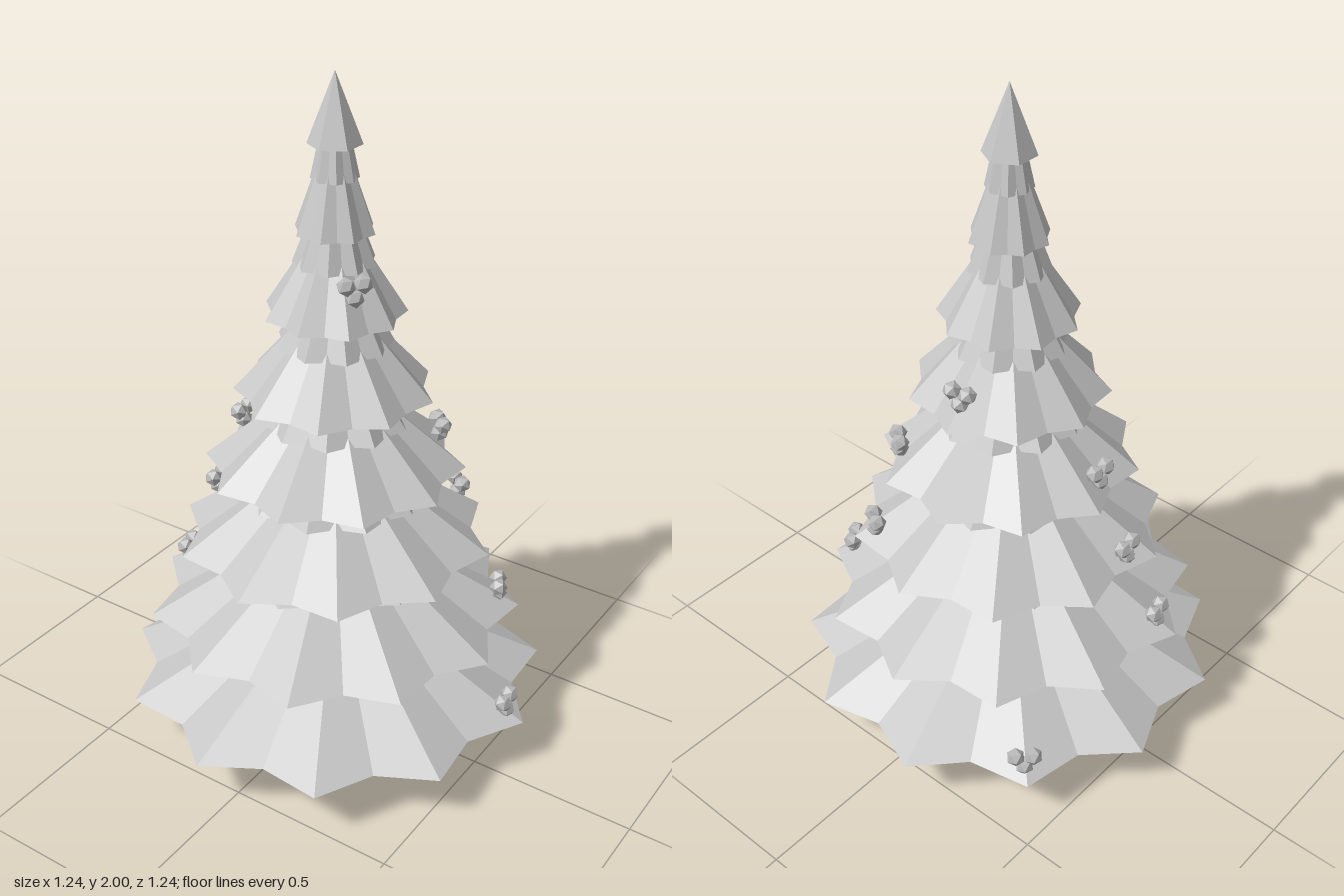
import * as THREE from 'three';

const needles = new THREE.MeshStandardMaterial({ name: 'paleGrey', color: 0xc6c6c6, flatShading: true });
const berryGrey = new THREE.MeshStandardMaterial({ name: 'berryGrey', color: 0xb8b8b8, flatShading: true });

// Closed frustum from y0 to y1
function frustum(name, rTop, rBottom, y0, y1, sides, turn = 0) {
  const geo = new THREE.CylinderGeometry(rTop, rBottom, y1 - y0, sides);
  geo.translate(0, (y0 + y1) / 2, 0);
  geo.rotateY(THREE.MathUtils.degToRad(turn));
  const mesh = new THREE.Mesh(geo, needles);
  mesh.name = name;
  return mesh;
}

// Frustum with a star-shaped outline: every second corner is pulled inward
function star(name, rTop, rBottom, y0, y1, points, turn) {
  const mesh = frustum(name, rTop, rBottom, y0, y1, points * 2);
  const p = mesh.geometry.attributes.position;
  for (let i = 0; i < p.count; i++) {
    const k = Math.round(Math.atan2(p.getX(i), p.getZ(i)) / (Math.PI / points));
    if (Math.abs(k) % 2 === 1) p.setXYZ(i, p.getX(i) * 0.87, p.getY(i), p.getZ(i) * 0.87);
  }
  mesh.geometry.rotateY(THREE.MathUtils.degToRad(turn));
  mesh.geometry.computeVertexNormals();
  return mesh;
}

export function createModel() {
  const group = new THREE.Group();
  group.name = 'tree';
  const tree = new THREE.Group();
  tree.name = 'foliageAndTrunk';
  tree.position.set(-0.007, 0, -0.007);
  group.add(tree);

  // Trunk with flared foot
  tree.add(frustum('trunkFoot', 0.068, 0.122, 0, 0.08, 6));
  tree.add(frustum('trunk', 0.06, 0.068, 0.08, 0.2, 6));

  // Branch tiers: radius, star points, turn in degrees
  const tiers = [
    [0.63, 11, 94.5], [0.55, 11, 184.2], [0.46, 10, 179], [0.375, 10, 10],
    [0.285, 9, 25], [0.2, 9, 5], [0.113, 8, 15],
  ];
  tiers.forEach(([r, points, turn], i) => {
    const y = 0.165 + i * 0.2345;
    const tier = new THREE.Group();
    tier.name = 'branchTier' + (i + 1);
    tier.add(star('branches', r * 0.12, r, y, y + 0.277, points, turn));
    tier.add(star('upperBranches', r * 0.38, r * 0.58, y + 0.145, y + 0.25, points, turn + 180 / points));
    tier.add(frustum('innerSkirt', r * 0.42, r * 0.54, y - 0.03, y + 0.04, 8, turn));
    tree.add(tier);
  });

  // Pointed tip
  tree.add(frustum('tip', 0, 0.074, 1.808, 2, 6));

  // Clusters of three berries on the branch ends
  const clusters = [
    [0.565, 0.22, -0.052], [-0.415, 0.22, -0.415], [0.418, 0.46, -0.245], [-0.482, 0.46, 0.098],
    [-0.405, 0.7, 0.038], [0.215, 0.7, -0.34], [-0.32, 0.94, 0.01], [0.2, 0.94, -0.243],
    [-0.03, 1.195, -0.235], [0.108, 1.455, 0.07],
  ];
  const berryGeo = new THREE.IcosahedronGeometry(0.027, 0);
  berryGeo.rotateX(Math.atan(2 / (1 + Math.sqrt(5)))); // stand on a corner
  clusters.forEach(([x, y, z], i) => {
    const cluster = new THREE.Group();
    cluster.name = 'berryCluster' + (i + 1);
    cluster.position.set(x, y, z);
    cluster.rotation.y = Math.atan2(x, z);
    for (const [bx, by] of [[-0.025, 0.012], [0.025, 0.012], [0, -0.024]]) {
      const berry = new THREE.Mesh(berryGeo, berryGrey);
      berry.name = 'berry';
      berry.position.set(bx, by, 0);
      cluster.add(berry);
    }
    group.add(cluster);
  });
  return group;
}
